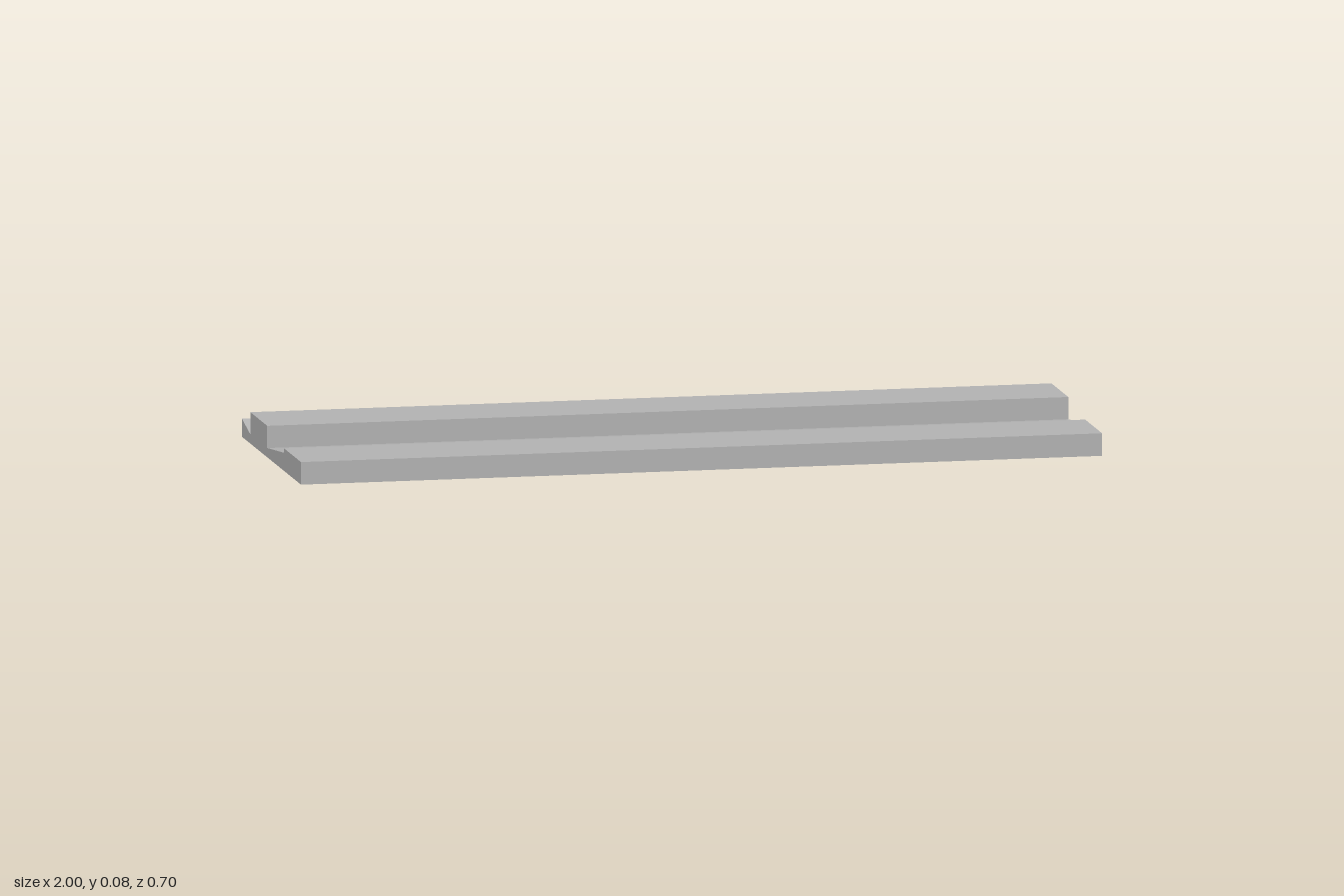
import * as THREE from 'three';

export function createModel() {
  const group = new THREE.Group();
  group.name = 'curbSection';

  const concrete = new THREE.MeshStandardMaterial({ color: 0xb2b2b2 });
  concrete.name = 'concrete grey';

  // Cross-section as [-z, y], running from front to back
  const profile = [
    [-0.35, 0], [0.35, 0],
    [0.35, 0.045], [0.25, 0.023],   // rear sloping strip
    [0.25, 0.078], [0.05, 0.078],   // raised block
    [0.05, 0.023], [-0.15, 0.045],  // sloping channel
    [-0.15, 0.056], [-0.35, 0.056], // front slab
  ];
  const shape = new THREE.Shape(profile.map(([x, y]) => new THREE.Vector2(x, y)));

  // Extrude the section along the full width
  const geometry = new THREE.ExtrudeGeometry(shape, { depth: 2, bevelEnabled: false });
  geometry.translate(0, 0, -1);
  geometry.rotateY(Math.PI / 2);

  const body = new THREE.Mesh(geometry, concrete);
  body.name = 'steppedSlab';
  group.add(body);
  return group;
}
